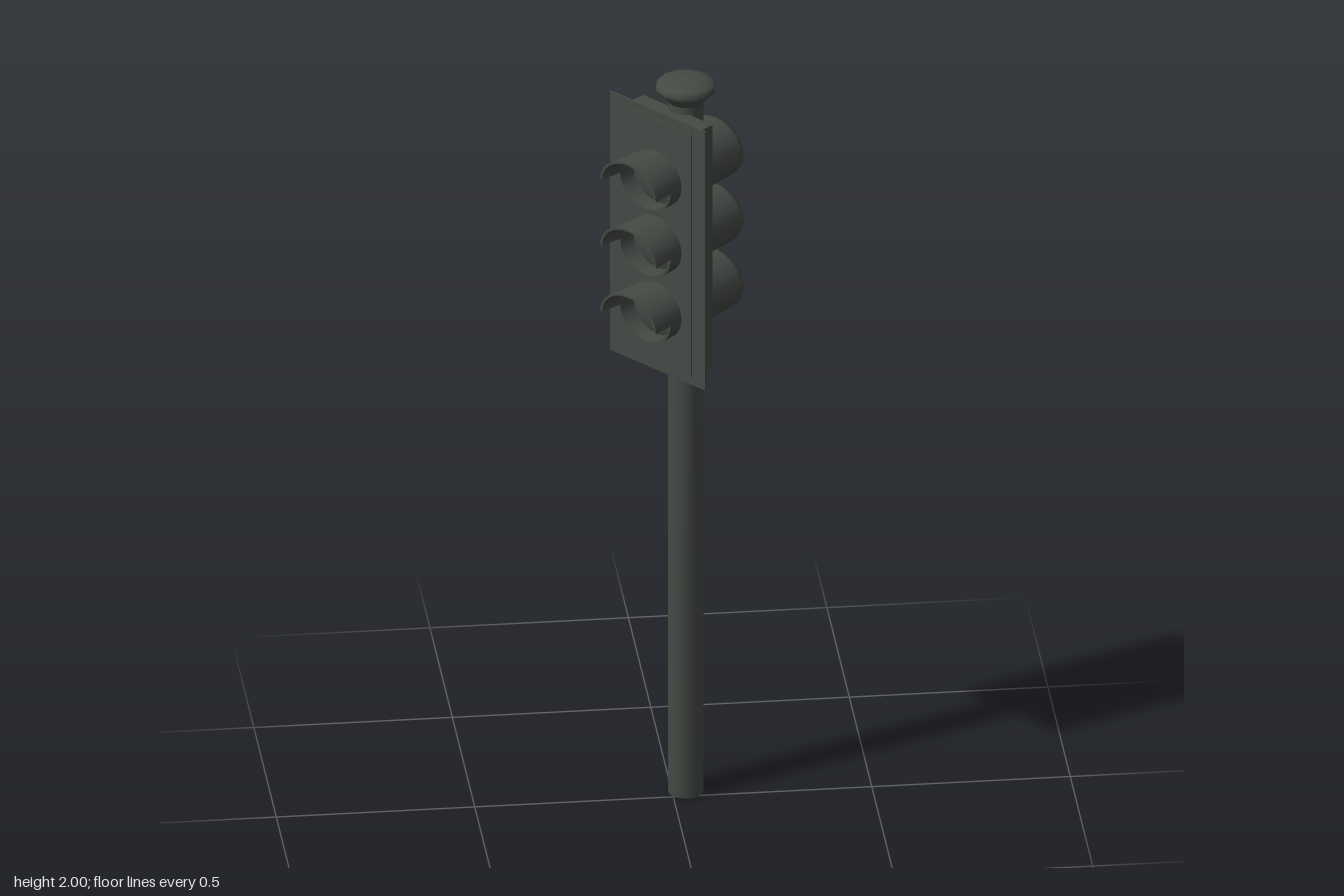
import * as THREE from 'three';
import { toCreasedNormals } from 'three/addons/utils/BufferGeometryUtils.js';

const paint = new THREE.MeshStandardMaterial({ color: 0x454a45 });
const sheet = new THREE.MeshStandardMaterial({ color: 0x454a45, side: THREE.DoubleSide });

function part(name, geometry, parent, material = paint) {
  const mesh = new THREE.Mesh(geometry, material);
  mesh.name = name;
  parent.add(mesh);
  return mesh;
}

function lathe(profile, segments) {
  return new THREE.LatheGeometry(profile.map(([r, y]) => new THREE.Vector2(r, y)), segments);
}

// Curved band between two angles, extruded forward and flaring out sideways
function visorBand(from, to, length) {
  const rx = 0.085, ry = 0.075, t = 0.006;
  const shape = new THREE.Shape();
  shape.absellipse(0, 0, rx, ry, from, to, false);
  shape.absellipse(0, 0, rx - t, ry - t, to, from, true);
  shape.closePath();
  const geo = new THREE.ExtrudeGeometry(shape, { depth: length, bevelEnabled: false, curveSegments: 16 });
  const pos = geo.attributes.position;
  for (let i = 0; i < pos.count; i++) {
    pos.setX(i, pos.getX(i) * (1 + 1.25 * pos.getZ(i)));
  }
  return toCreasedNormals(geo, 0.7);
}

function createLamp() {
  const lamp = new THREE.Group();
  lamp.name = 'lamp';

  // Rounded drum behind the housing
  const drum = part('lampDrum', lathe([[0, -0.12], [0.088, -0.12], [0.092, -0.105], [0.1, 0.04]], 20), lamp);
  drum.rotation.x = Math.PI / 2;
  drum.scale.z = 0.87;
  drum.position.y = 0.012;

  // Shallow domed lens
  const lens = part('lens', lathe([[0.079, 0], [0.065, 0.006], [0.035, 0.012], [0, 0.014]], 20), lamp);
  lens.rotation.x = Math.PI / 2;
  lens.scale.z = 0.88;
  lens.position.z = 0.102;

  // Long hood above, short collar below
  part('visorHood', visorBand(0, Math.PI, 0.107), lamp).position.z = 0.1;
  part('visorCollar', visorBand(Math.PI, Math.PI * 2, 0.048), lamp).position.z = 0.1;
  return lamp;
}

export function createModel() {
  const model = new THREE.Group();
  model.name = 'trafficLight';

  const signal = new THREE.Group();
  signal.name = 'signal';
  signal.position.set(0.035, 0, -0.031);
  signal.rotation.y = -0.875;
  model.add(signal);

  // Post and mushroom cap
  part('pole', toCreasedNormals(new THREE.CylinderGeometry(0.045, 0.045, 1.95, 14), 0.7), signal)
    .position.y = 0.975;
  part('poleCap', lathe([[0.044, 1.935], [0.052, 1.945], [0.074, 1.965], [0.077, 1.976],
    [0.07, 1.988], [0.045, 1.997], [0, 2]], 12), signal);

  // Housing box and thin backing plate
  part('housing', new THREE.BoxGeometry(0.24, 0.68, 0.078), signal).position.set(-0.003, 1.577, 0.064);
  part('backingPlate', new THREE.BoxGeometry(0.33, 0.725, 0.005), signal, sheet)
    .position.set(-0.003, 1.577, 0.097);

  // Three lamps stacked down the housing
  for (let i = 0; i < 3; i++) {
    const lamp = createLamp();
    lamp.position.set(-0.002, 1.757 - i * 0.185, 0);
    signal.add(lamp);
  }
  return model;
}
